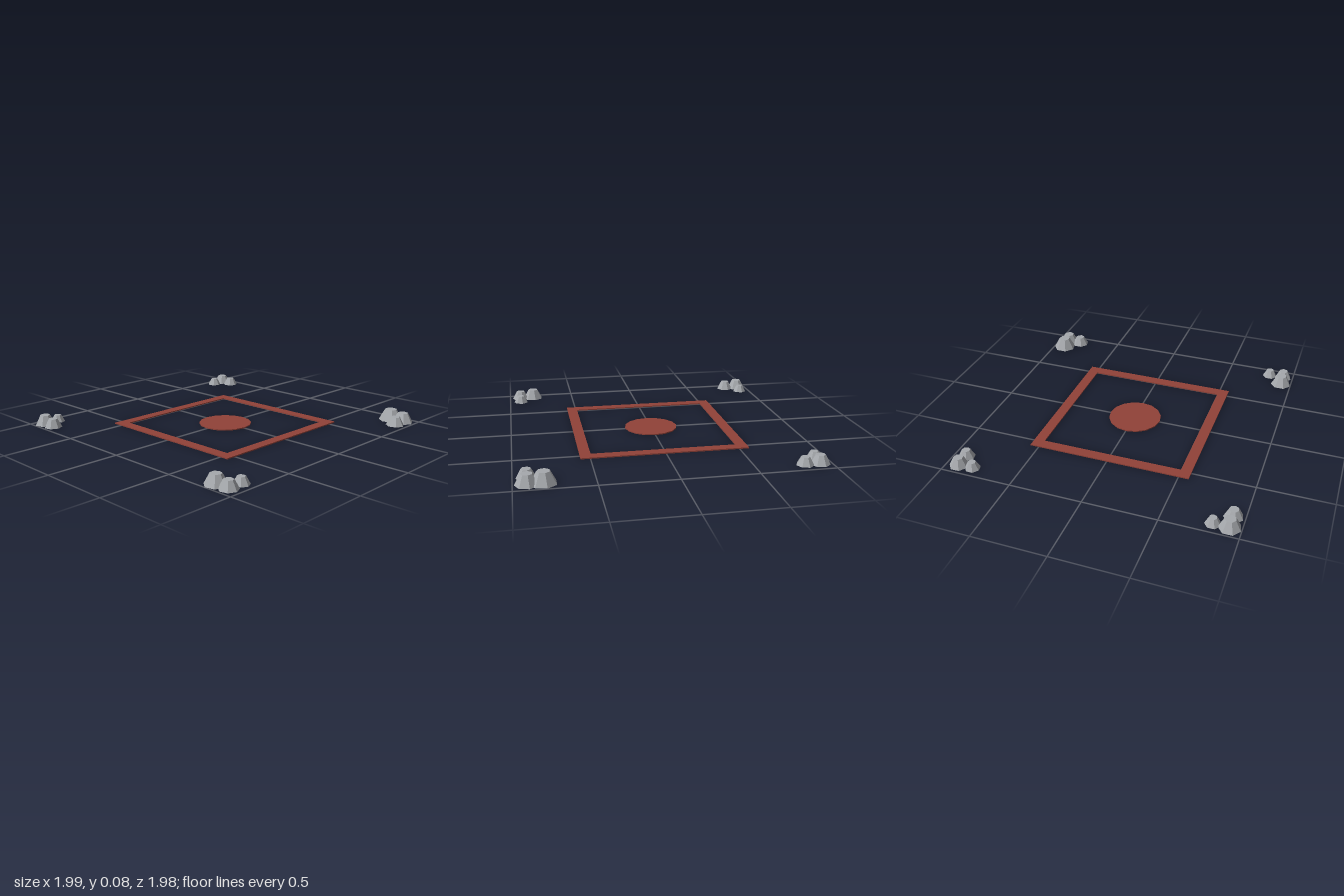
import * as THREE from 'three';

export function createModel() {
  const model = new THREE.Group();
  model.name = 'markedCourt';
  const paint = new THREE.MeshStandardMaterial({ color: 0x914238, flatShading: true });
  paint.name = 'brick red';
  const stone = new THREE.MeshStandardMaterial({ color: 0xa6a9ad, flatShading: true });
  stone.name = 'stone grey';

  const add = (parent, name, geometry, material, x, y, z) => {
    const mesh = new THREE.Mesh(geometry, material);
    mesh.name = name;
    mesh.position.set(x, y, z);
    parent.add(mesh);
  };

  // Flat square border and centre disc
  const thick = 0.008, band = 0.073, half = 0.565, cx = -0.005;
  const court = new THREE.Group();
  court.name = 'court';
  court.position.set(cx, thick / 2, 0);
  model.add(court);
  const mid = half - band / 2;
  for (const s of [-1, 1]) {
    add(court, s > 0 ? 'frontBorder' : 'backBorder',
      new THREE.BoxGeometry(half * 2, thick, band), paint, 0, 0, s * mid);
    add(court, s > 0 ? 'leftBorder' : 'rightBorder',
      new THREE.BoxGeometry(band, thick, (half - band) * 2), paint, s * mid, 0, 0);
  }
  add(court, 'centreDisc', new THREE.CylinderGeometry(0.188, 0.188, thick, 16), paint, 0, 0, 0);

  // Corner rock piles: [x, z, radius] for each tapered rock
  const piles = {
    backRightRocks: [[-0.925, -0.92, 0.073], [-0.82, -0.92, 0.052], [-0.925, -0.82, 0.064]],
    backLeftRocks: [[0.91, -0.92, 0.067], [0.81, -0.92, 0.053], [0.91, -0.82, 0.058]],
    frontRightRocks: [[-0.925, 0.815, 0.075], [-0.925, 0.915, 0.064], [-0.82, 0.915, 0.054]],
    frontLeftRocks: [[0.912, 0.815, 0.085], [0.912, 0.915, 0.075], [0.81, 0.915, 0.065]],
  };
  for (const [name, rocks] of Object.entries(piles)) {
    const pile = new THREE.Group();
    pile.name = name;
    model.add(pile);
    for (const [x, z, r] of rocks) {
      const h = r * 0.95;
      add(pile, 'rock', new THREE.CylinderGeometry(r * 0.5, r, h, 7), stone, x, h / 2, z);
    }
  }
  return model;
}
